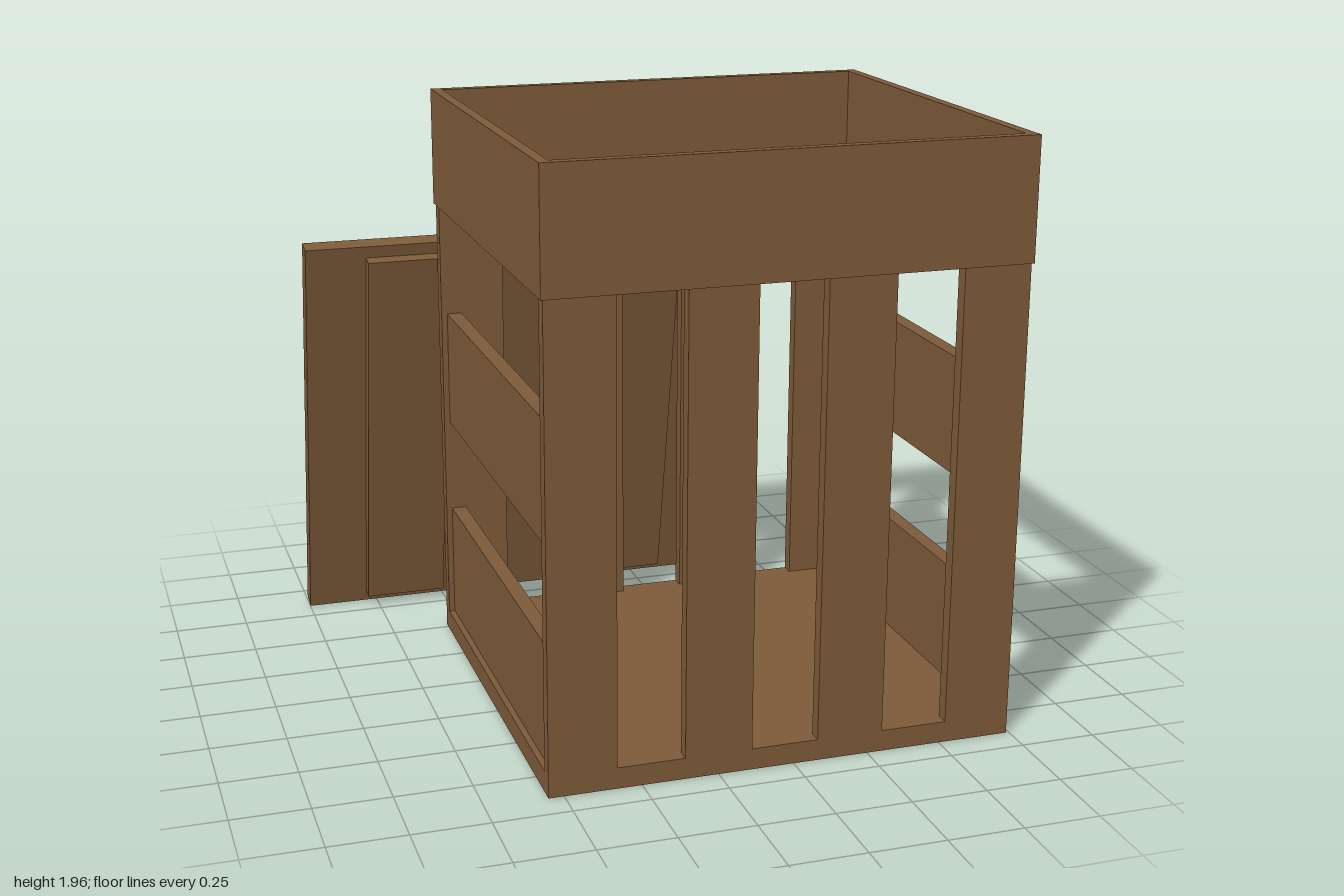
import * as THREE from 'three';

export function createModel() {
  const wood = new THREE.MeshStandardMaterial({ color: 0x7f5c3b });
  wood.name = 'brown wood';
  const model = new THREE.Group();
  model.name = 'crateWithLid';

  // Box given by its min and max corners
  function board(name, parent, [x0, y0, z0], [x1, y1, z1]) {
    const mesh = new THREE.Mesh(new THREE.BoxGeometry(x1 - x0, y1 - y0, z1 - z0), wood);
    mesh.position.set((x0 + x1) / 2, (y0 + y1) / 2, (z0 + z1) / 2);
    mesh.name = name;
    parent.add(mesh);
  }

  // Crate, built around its own centre
  const crate = new THREE.Group();
  crate.name = 'crate';
  crate.position.set(0.22, 0, 0.19);
  model.add(crate);
  const hx = 0.77, hz = 0.711;
  board('floor', crate, [-hx, 0, -hz], [hx, 0.07, hz]);

  // Upright slats on front and back
  for (let i = 0; i < 4; i++) {
    const x = -hx + i * 0.44;
    board('frontSlat', crate, [x, 0.07, hz - 0.046], [x + 0.22, 1.568, hz]);
    board('backSlat', crate, [x, 0.07, -hz], [x + 0.22, 1.568, -hz + 0.046]);
  }

  // Horizontal planks on both sides
  for (const [y0, y1] of [[0.07, 0.465], [0.787, 1.182]]) {
    board('leftPlank', crate, [0.7, y0, -hz + 0.046], [0.75, y1, hz - 0.046]);
    board('rightPlank', crate, [-0.75, y0, -hz + 0.046], [-0.7, y1, hz - 0.046]);
  }

  // Open band around the top
  const bx = 0.777, bz = 0.717, t = 0.035;
  const ring = new THREE.Shape([[-bx, -bz], [bx, -bz], [bx, bz], [-bx, bz]].map(p => new THREE.Vector2(...p)));
  const ix = bx - t, iz = bz - t;
  ring.holes.push(new THREE.Path([[-ix, -iz], [-ix, iz], [ix, iz], [ix, -iz]].map(p => new THREE.Vector2(...p))));
  const bandGeometry = new THREE.ExtrudeGeometry(ring, { depth: 0.395, bevelEnabled: false });
  bandGeometry.rotateX(-Math.PI / 2);
  const band = new THREE.Mesh(bandGeometry, wood);
  band.name = 'topBand';
  band.position.y = 1.566;
  crate.add(band);

  // Lid leaning against the back, with two battens facing the crate
  const lid = new THREE.Group();
  lid.name = 'lid';
  lid.position.set(-0.225, 0.002, -0.84);
  lid.rotation.x = 0.188;
  model.add(lid);
  board('lidPanel', lid, [-0.775, 0, -0.067], [0.775, 1.441, 0]);
  board('leftBatten', lid, [0.285, 0.042, 0], [0.57, 1.399, 0.047]);
  board('rightBatten', lid, [-0.565, 0.042, 0], [-0.28, 1.399, 0.047]);

  return model;
}
